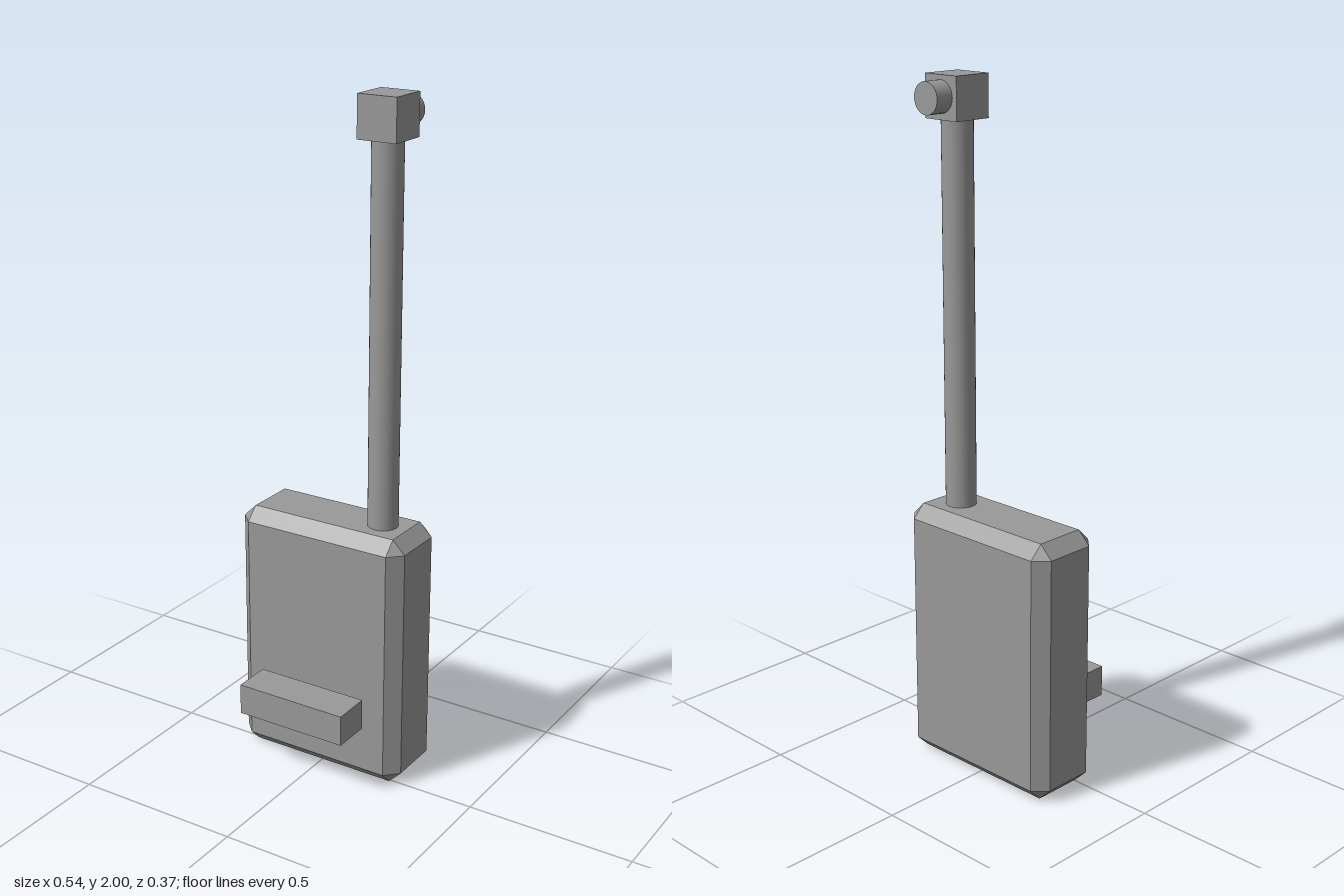
import * as THREE from 'three';
import { ConvexGeometry } from 'three/addons/geometries/ConvexGeometry.js';

const grey = new THREE.MeshStandardMaterial({ color: 0x999999 });
grey.name = 'grey';

// Box with flat bevelled edges and triangular corners
function bevelledBox(w, h, d, c) {
  const points = [];
  for (const x of [-1, 1]) for (const y of [-1, 1]) for (const z of [-1, 1]) {
    for (let axis = 0; axis < 3; axis++) {
      const half = [w / 2, h / 2, d / 2].map((s, i) => (i === axis ? s : s - c));
      points.push(new THREE.Vector3(x * half[0], y * half[1], z * half[2]));
    }
  }
  return new ConvexGeometry(points);
}

export function createModel() {
  const model = new THREE.Group();
  model.name = 'model';

  function add(name, geometry, x, y, z) {
    const mesh = new THREE.Mesh(geometry, grey);
    mesh.name = name;
    mesh.position.set(x, y, z);
    model.add(mesh);
  }

  // Main body
  add('body', bevelledBox(0.544, 0.778, 0.231, 0.039), 0, 0.389, -0.0695);

  // Mast rising from the body's left side
  const mastX = 0.155, mastZ = -0.07, radius = 0.0445;
  add('mast', new THREE.CylinderGeometry(radius, radius, 1.14, 32), mastX, 1.33, mastZ);

  // Head block with a round knob on its back
  add('head', new THREE.BoxGeometry(0.12, 0.12, 0.12), mastX, 1.94, mastZ);
  const knob = new THREE.CylinderGeometry(radius, radius, 0.065, 32).rotateX(Math.PI / 2);
  add('knob', knob, mastX, 1.942, -0.1525);

  // Loose bar in front of the body
  add('frontBar', new THREE.BoxGeometry(0.348, 0.093, 0.116), 0, 0.235, 0.125);

  return model;
}
